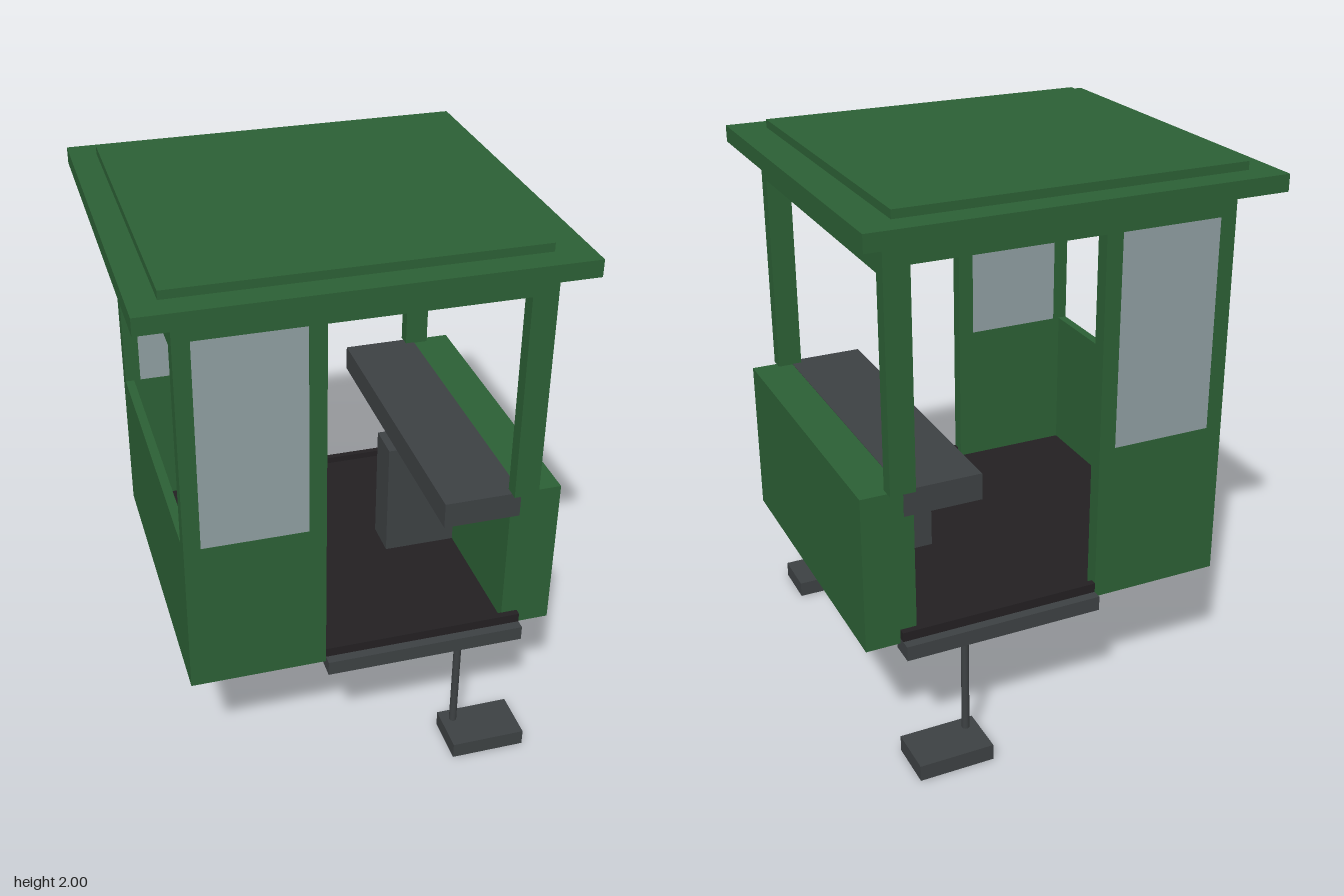
import * as THREE from 'three';

const material = (name, color) => {
  const m = new THREE.MeshStandardMaterial({ color });
  m.name = name;
  return m;
};

export function createModel() {
  const green = material('green paint', 0x2c6035);
  const grey = material('dark grey metal', 0x3d4143);
  const black = material('black rubber', 0x232022);
  const glass = material('window glass', 0x8f9ea1);
  const tan = material('ceiling lining', 0x787060);

  const cabin = new THREE.Group();
  cabin.name = 'cabin';

  // Box given by its lower and upper limits on each axis
  function box(name, mat, [x0, x1], [y0, y1], [z0, z1], parent = cabin) {
    const mesh = new THREE.Mesh(new THREE.BoxGeometry(x1 - x0, y1 - y0, z1 - z0), mat);
    mesh.position.set((x0 + x1) / 2, (y0 + y1) / 2, (z0 + z1) / 2);
    mesh.name = name;
    parent.add(mesh);
    return mesh;
  }

  // Roof and ceiling
  box('roofSlab', green, [-0.74, 0.735], [1.91, 1.97], [-0.71, 0.705]);
  box('roofCap', green, [-0.645, 0.61], [1.97, 2], [-0.615, 0.61]);
  box('ceiling', tan, [-0.58, 0.55], [1.9, 1.909], [-0.555, 0.555]);

  // Floor, with its edges tucked under the walls
  box('floor', black, [-0.58, 0.55], [0.472, 0.5], [-0.585, 0.585]);

  // Right-hand counter box and long worktop on a pedestal
  box('sideLocker', green, [0.55, 0.735], [0.47, 1.05], [-0.585, 0.585]);
  box('worktop', grey, [0.305, 0.585], [0.955, 1.052], [-0.588, 0.588]);
  box('worktopPedestal', grey, [0.275, 0.55], [0.5, 0.955], [-0.07, 0.07]);

  // Low wall opposite the counter and the beams over both side openings
  box('lowWall', green, [-0.613, -0.58], [0.47, 1.05], [-0.555, 0.555]);
  box('wallBeam', green, [-0.613, -0.58], [1.79, 1.91], [-0.555, 0.555]);
  box('counterBeam', green, [0.55, 0.64], [1.79, 1.91], [-0.555, 0.555]);

  // Panel with a window opening, extruded to the wall thickness
  const panelShape = new THREE.Shape([
    [-0.613, 0.47], [-0.125, 0.47], [-0.125, 1.91], [-0.613, 1.91],
  ].map(([x, y]) => new THREE.Vector2(x, y)));
  panelShape.holes.push(new THREE.Path([
    [-0.555, 1.05], [-0.555, 1.82], [-0.185, 1.82], [-0.185, 1.05],
  ].map(([x, y]) => new THREE.Vector2(x, y))));
  const panelGeometry = new THREE.ExtrudeGeometry(panelShape, { depth: 0.055, bevelEnabled: false });
  const poleGeometry = new THREE.CylinderGeometry(0.014, 0.014, 0.38, 12);

  // Front and back faces mirror each other
  for (const [side, s] of [['front', 1], ['back', -1]]) {
    const face = new THREE.Group();
    face.name = side + 'Face';
    cabin.add(face);
    const part = (name, mat, x, y, [z0, z1]) =>
      box(name, mat, x, y, s > 0 ? [z0, z1] : [-z1, -z0], face);

    const panel = new THREE.Mesh(panelGeometry, green);
    panel.name = 'windowPanel';
    panel.position.z = s > 0 ? 0.555 : -0.61;
    face.add(panel);
    part('windowPane', glass, [-0.555, -0.185], [1.05, 1.82], [0.556, 0.609]);

    // Door opening: corner post, lintel, sill and step
    part('cornerPost', green, [0.55, 0.64], [1.05, 1.91], [0.555, 0.61]);
    part('doorLintel', green, [-0.125, 0.55], [1.82, 1.91], [0.555, 0.61]);
    part('doorSill', black, [-0.125, 0.61], [0.49, 0.525], [0.586, 0.61]);
    part('doorStep', grey, [-0.125, 0.61], [0.435, 0.49], [0.555, 0.645]);

    // Hanging foothold
    const pole = new THREE.Mesh(poleGeometry, grey);
    pole.name = 'footholdPole';
    pole.position.set(0.38, 0.247, s * 0.602);
    face.add(pole);
    part('foothold', grey, [0.335, 0.61], [0, 0.06], [0.555, 0.738]);
  }

  return cabin;
}
